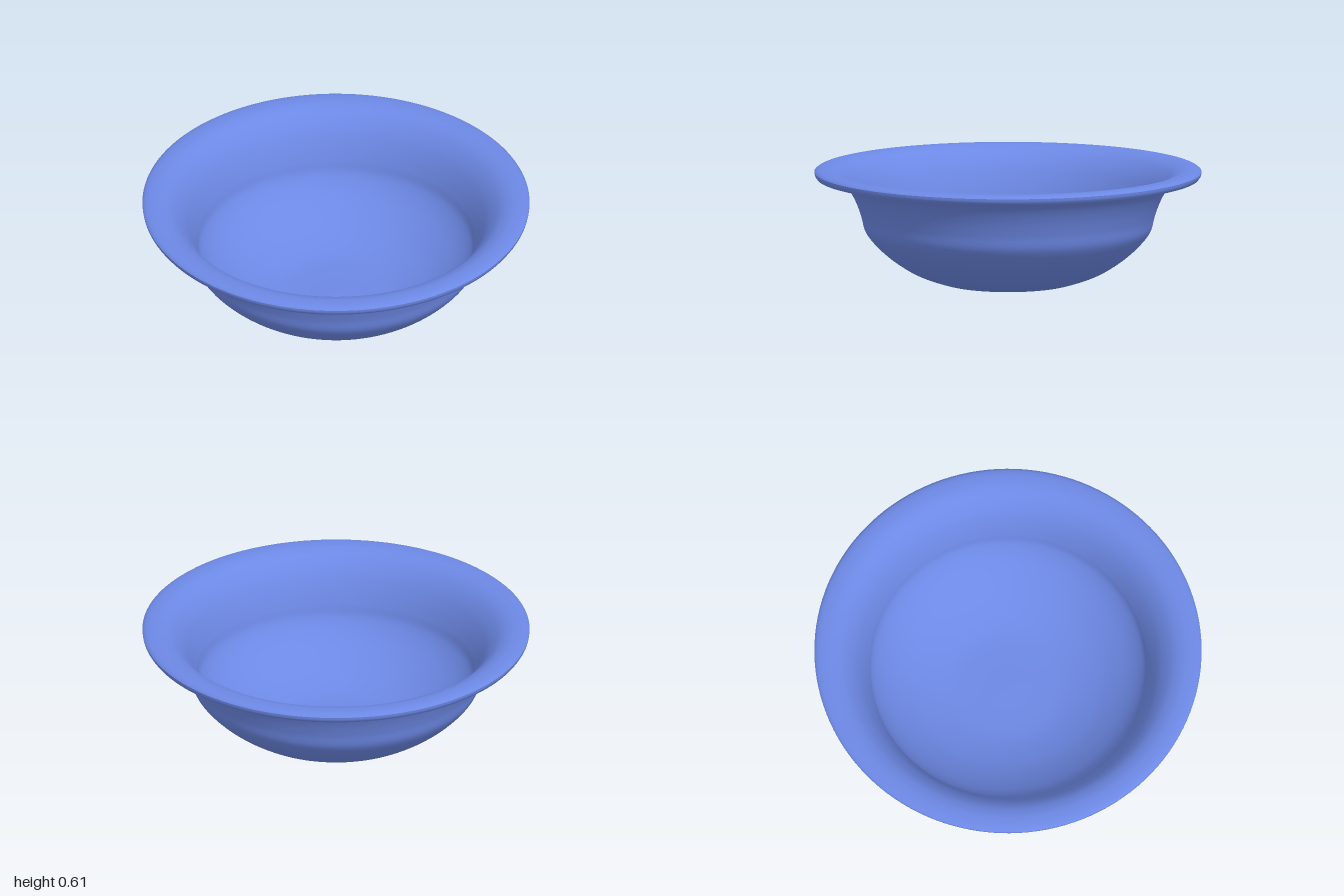
import * as THREE from 'three';

const material = new THREE.MeshStandardMaterial({ color: 0x6c88e4, side: THREE.DoubleSide });

// Smooth curve through [radius, height] points, spun around y
function spin(name, points, samples) {
  const curve = new THREE.SplineCurve(points.map(([r, y]) => new THREE.Vector2(r, y)));
  const profile = curve.getPoints(samples);
  profile.forEach((p) => { p.x = Math.max(p.x, 0); p.y = Math.max(p.y, 0); });
  const mesh = new THREE.Mesh(new THREE.LatheGeometry(profile, 128), material);
  mesh.name = name;
  return mesh;
}

export function createModel() {
  const bowl = new THREE.Group();
  bowl.name = 'bowl';

  // Flat foot
  bowl.add(spin('foot', [[0, 0], [0.24, 0]], 2));

  // Outer wall, with a soft shoulder and a flare up to the rim
  bowl.add(spin('outerWall', [
    [0.24, 0], [0.33, 0.012], [0.47, 0.06], [0.58, 0.125], [0.67, 0.2],
    [0.735, 0.28], [0.758, 0.36], [0.785, 0.435], [0.82, 0.5], [0.86, 0.543], [0.9, 0.56],
  ], 60));

  // Flat underside and rounded edge of the rim
  bowl.add(spin('rimUnderside', [[0.9, 0.56], [0.987, 0.56]], 2));
  bowl.add(spin('rimEdge', [[0.987, 0.56], [0.997, 0.575], [1, 0.592]], 8));

  // Rim top flowing into the inner wall and floor
  bowl.add(spin('innerSurface', [
    [1, 0.592], [0.985, 0.602], [0.95, 0.607], [0.9, 0.602], [0.845, 0.575], [0.79, 0.515],
    [0.75, 0.44], [0.722, 0.365], [0.7, 0.295], [0.64, 0.22], [0.55, 0.15],
    [0.45, 0.095], [0.32, 0.052], [0.2, 0.04], [0, 0.04],
  ], 90));

  return bowl;
}
